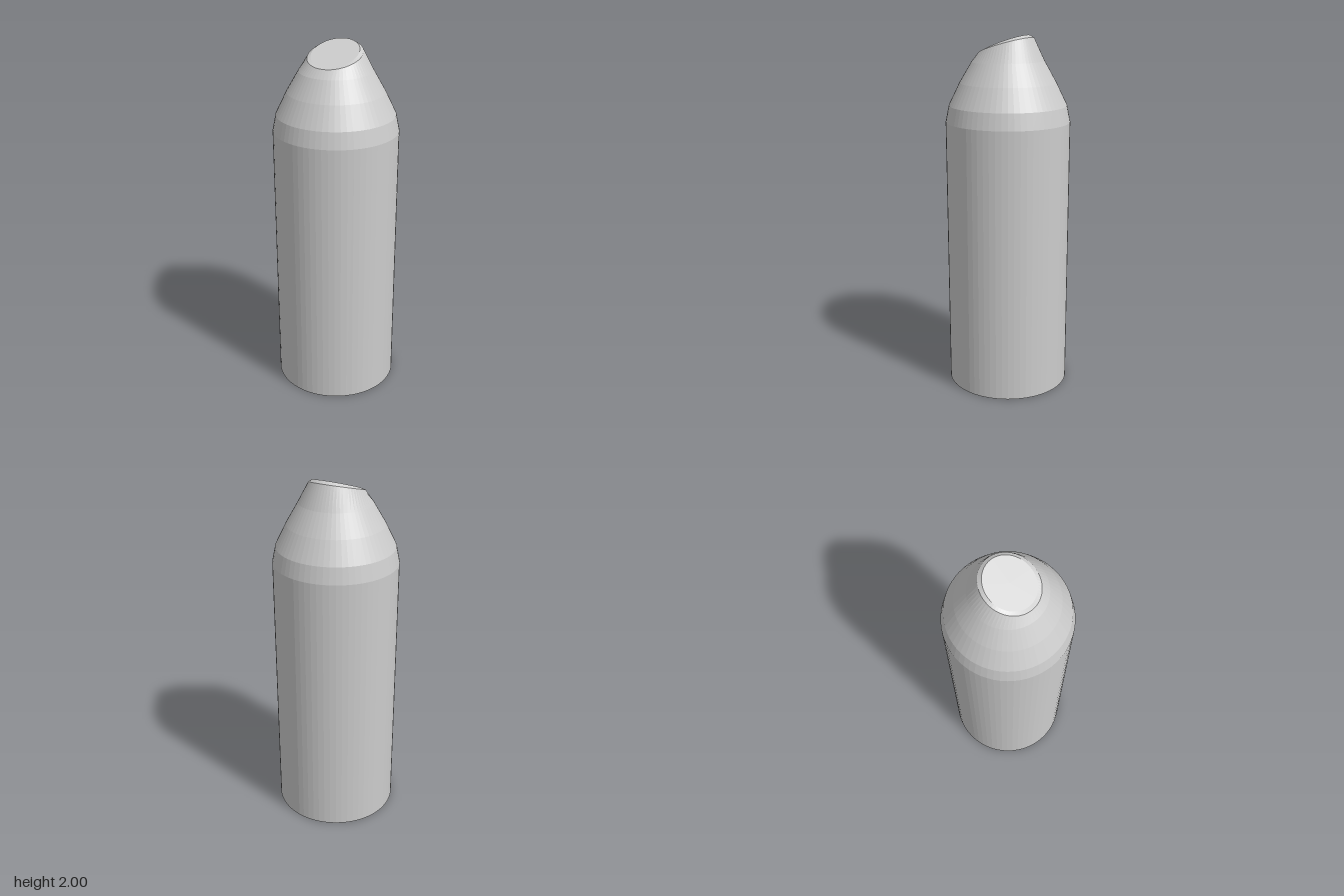
import * as THREE from 'three';

const SEGMENTS = 64;

// Skin stacked rings [radiusX, radiusZ, centreY, centreZ, rise towards the back per unit z], bottom to top
function loft(rings, capBottom, capTop) {
  const pos = [], index = [];
  for (const [rx, rz, y, cz, tilt] of rings) {
    for (let i = 0; i < SEGMENTS; i++) {
      const a = (i / SEGMENTS) * Math.PI * 2;
      const dz = rz * Math.cos(a);
      pos.push(rx * Math.sin(a), y - tilt * dz, cz + dz);
    }
  }
  for (let k = 0; k < rings.length - 1; k++) {
    for (let i = 0; i < SEGMENTS; i++) {
      const j = (i + 1) % SEGMENTS;
      const a = k * SEGMENTS + i, b = k * SEGMENTS + j;
      index.push(a, b, b + SEGMENTS, a, b + SEGMENTS, a + SEGMENTS);
    }
  }
  // Fan caps around a centre point
  const cap = (k, up) => {
    const c = pos.length / 3;
    pos.push(0, rings[k][2], rings[k][3]);
    for (let i = 0; i < SEGMENTS; i++) {
      const a = k * SEGMENTS + i, b = k * SEGMENTS + ((i + 1) % SEGMENTS);
      if (up) index.push(c, a, b);
      else index.push(c, b, a);
    }
  };
  if (capBottom) cap(0, false);
  if (capTop) cap(rings.length - 1, true);
  const geo = new THREE.BufferGeometry();
  geo.setAttribute('position', new THREE.Float32BufferAttribute(pos, 3));
  geo.setIndex(index);
  const flat = geo.toNonIndexed();
  flat.computeVertexNormals();
  return flat;
}

export function createModel() {
  const group = new THREE.Group();
  const material = new THREE.MeshStandardMaterial({ color: 0xcccccc, flatShading: true });
  const add = (name, geometry) => {
    const mesh = new THREE.Mesh(geometry, material);
    mesh.name = name;
    group.add(mesh);
  };

  const R = 0.345;
  const shoulder = [0.326, 0.326, 1.62, 0, 0];
  const rim = [0.148, 0.1525, 1.941, 0.0105, 0.3];

  // Straight cylindrical body with a closed base
  add('body', loft([[R, R, 0, 0, 0], [R, R, 1.53, 0, 0]], true, false));

  // Small bevel where the body starts to narrow
  add('shoulder', loft([[R, R, 1.53, 0, 0], shoulder], false, false));

  // Tapered nose ending in a slanted rim
  add('nose', loft([
    shoulder,
    [0.266, 0.266, 1.742, 0, 0],
    [0.2, 0.2, 1.856, 0, 0.02],
    rim,
  ], false, false));

  // Bevelled, slanted flat tip, highest at the back
  add('slantedTip', loft([rim, [0.129, 0.131, 1.95, 0.011, 0.38]], false, true));

  return group;
}
